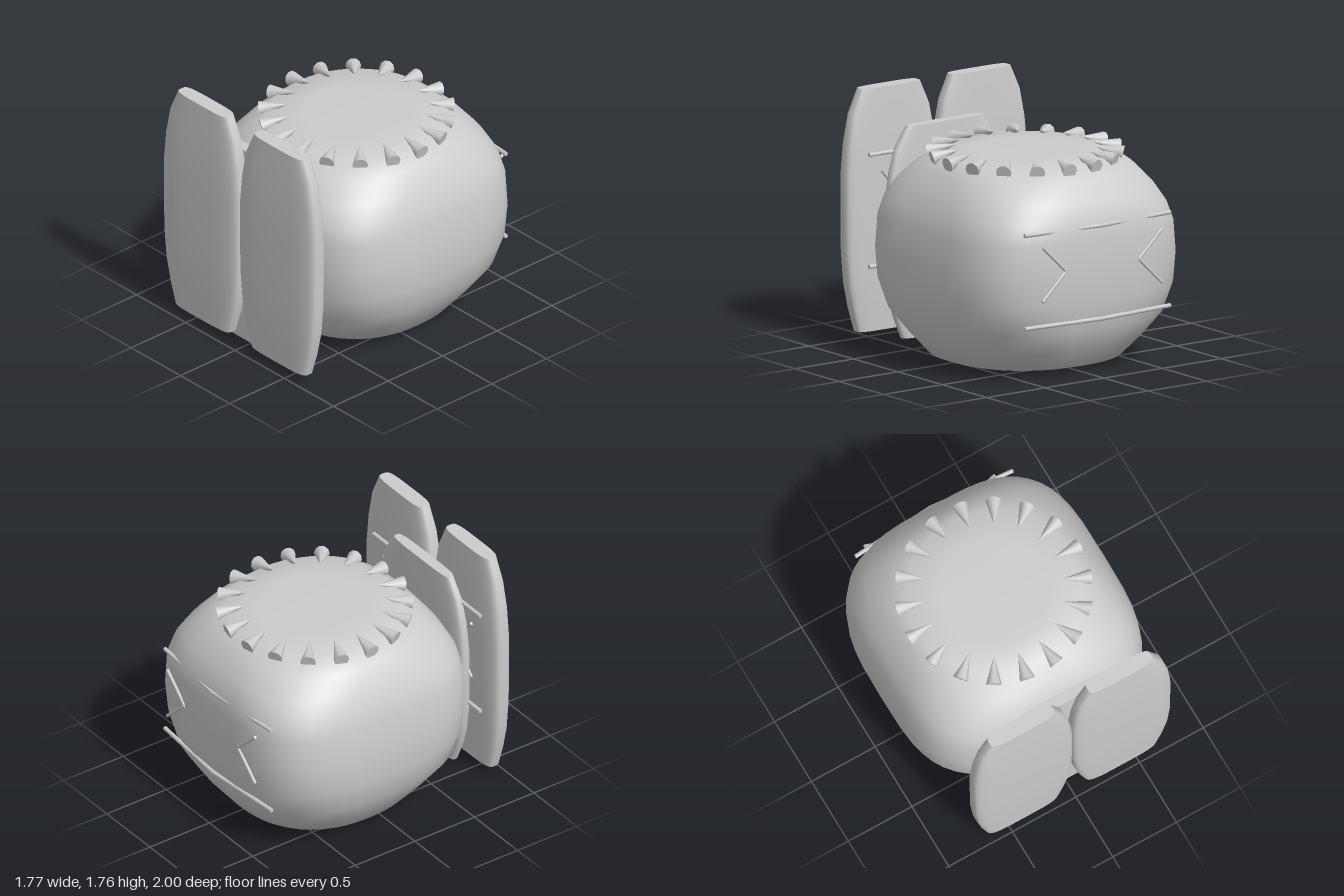
import * as THREE from 'three';
import { toCreasedNormals } from 'three/addons/utils/BufferGeometryUtils.js';

const material = new THREE.MeshStandardMaterial({ color: 0xcccccc });

// Closed loft through rounded-square rings: [y, halfX, halfZ, centreZ, exponent]
function loft(rings, segments) {
  const pos = [], index = [];
  for (const [y, a, b, cz, n] of rings) {
    for (let i = 0; i < segments; i++) {
      const t = (i / segments) * Math.PI * 2, c = Math.cos(t), s = Math.sin(t);
      pos.push(
        a * Math.sign(c) * Math.abs(c) ** (2 / n), y,
        cz + b * Math.sign(s) * Math.abs(s) ** (2 / n));
    }
  }
  const last = rings.length - 1, bottom = rings.length * segments, top = bottom + 1;
  pos.push(0, rings[0][0], rings[0][3], 0, rings[last][0], rings[last][3]);
  for (let i = 0; i < segments; i++) {
    const k = (i + 1) % segments;
    for (let r = 0; r < last; r++) {
      const a = r * segments + i, b = r * segments + k;
      index.push(a, a + segments, b, b, a + segments, b + segments);
    }
    index.push(bottom, i, k, top, last * segments + k, last * segments + i);
  }
  const geo = new THREE.BufferGeometry();
  geo.setAttribute('position', new THREE.Float32BufferAttribute(pos, 3));
  geo.setIndex(index);
  geo.computeVertexNormals();
  return geo;
}

function add(parent, name, geo) {
  const mesh = new THREE.Mesh(geo, material);
  mesh.name = name;
  parent.add(mesh);
  return mesh;
}

// Thin rod between two points
function rod(parent, name, from, to, radius) {
  const p = new THREE.Vector3(...from), q = new THREE.Vector3(...to);
  const mesh = add(parent, name, new THREE.CylinderGeometry(radius, radius, p.distanceTo(q), 8));
  mesh.position.copy(p).add(q).multiplyScalar(0.5);
  mesh.quaternion.setFromUnitVectors(new THREE.Vector3(0, 1, 0), q.sub(p).normalize());
}

// Tapered slab outline: [height fraction, width fraction, thickness fraction]
const slabOutline = [
  [0, 0.72, 0.72], [0.1, 0.85, 0.84], [0.2, 0.94, 0.94], [0.33, 0.99, 1], [0.5, 1, 1],
  [0.65, 1, 1], [0.78, 0.95, 0.94], [0.9, 0.85, 0.82], [1, 0.65, 0.7],
];
function slab(y0, y1, halfWidth, halfDepth) {
  const rings = slabOutline.map(([h, w, d]) =>
    [y0 + (y1 - y0) * h, halfWidth * w, halfDepth * d, 0, 4]);
  return toCreasedNormals(loft(rings, 40), 0.9);
}

// Two horizontal rods with a pair of inward-pointing chevrons between them
function trim(name, { top, bottom, zMid, zEnd, zChevron, chevronHalf }) {
  const group = new THREE.Group();
  group.name = name;
  const middle = (top + bottom) / 2 + 0.05;
  for (const side of [1, -1]) {
    for (const y of [top, bottom]) {
      rod(group, 'trimRod', [0, y, zMid], [side * 0.62, y, zEnd], 0.015);
    }
    for (const up of [1, -1]) {
      rod(group, 'trimChevron', [side * 0.31, middle, zChevron],
        [side * 0.51, middle + up * chevronHalf, zChevron], 0.012);
    }
  }
  return group;
}

export function createModel() {
  const model = new THREE.Group();
  model.name = 'pot';
  const centreZ = -0.115;

  // Rounded-square body, rounder towards its top and base
  const bodyRings = [
    [0.04, 0.635, 0.635, 2.3], [0.18, 0.74, 0.745, 2.6], [0.34, 0.84, 0.835, 3],
    [0.54, 0.885, 0.865, 3.4], [0.75, 0.885, 0.877, 3.6], [0.97, 0.865, 0.873, 3.6],
    [1.1, 0.825, 0.855, 3.4], [1.22, 0.77, 0.8, 3], [1.34, 0.69, 0.71, 2.5],
    [1.43, 0.59, 0.59, 2.1], [1.44, 0.38, 0.38, 2],
  ].map(([y, a, b, n]) => [y, a, b, centreZ, n]);
  add(model, 'body', loft(bodyRings, 48));

  // Ring of spikes on the top, tips pointing inwards
  const spikes = new THREE.Group();
  spikes.name = 'spikeRing';
  spikes.position.z = centreZ;
  const spikeGeo = new THREE.ConeGeometry(0.054, 0.195, 10);
  spikeGeo.rotateZ(Math.PI / 2 - 0.25);
  spikeGeo.translate(0.57, 1.439, 0);
  for (let i = 0; i < 18; i++) {
    add(spikes, 'spike', spikeGeo).rotation.y = (i / 18) * Math.PI * 2;
  }
  model.add(spikes);

  // Pair of tall slabs at the front
  const frontGeo = slab(0.07, 1.76, 0.386, 0.08);
  for (const [name, side] of [['leftFrontSlab', 1], ['rightFrontSlab', -1]]) {
    add(model, name, frontGeo).position.set(side * 0.386, 0, 0.918);
  }

  // Wider slab between the body and the front pair
  const backing = add(model, 'backingSlab', slab(0, 1.48, 0.49, 0.057));
  backing.position.z = 0.812;
  backing.rotation.x = -0.008;

  // Trim on the back of the body and on the back of the front slabs
  model.add(trim('bodyTrim', {
    top: 1.06, bottom: 0.41, zMid: -0.975, zEnd: -0.925, zChevron: -0.985, chevronHalf: 0.19,
  }));
  model.add(trim('slabTrim', {
    top: 1.31, bottom: 0.53, zMid: 0.828, zEnd: 0.828, zChevron: 0.832, chevronHalf: 0.22,
  }));
  return model;
}
